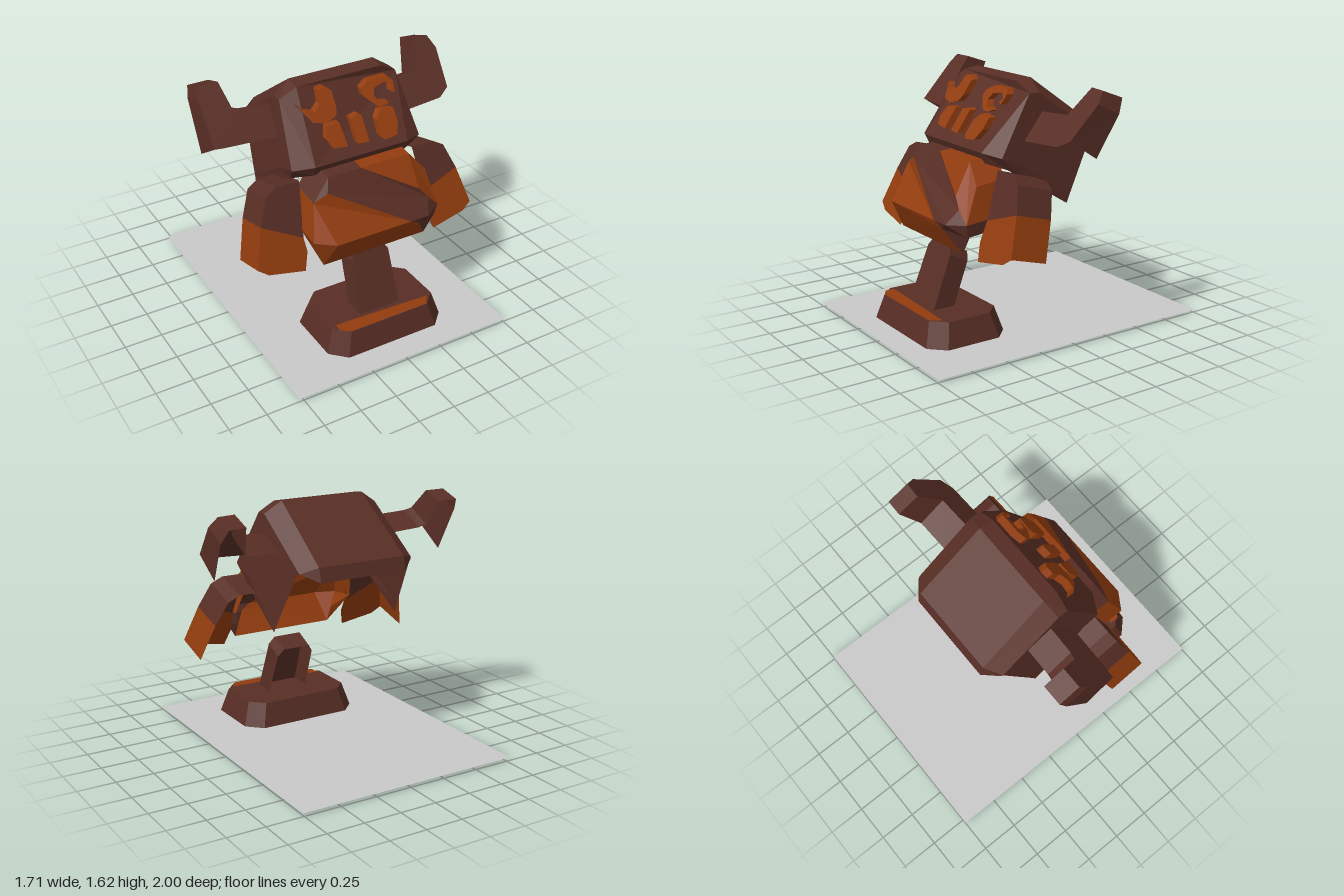
import * as THREE from 'three';

const material = (name, color) => {
  const m = new THREE.MeshStandardMaterial({ color, side: THREE.DoubleSide, flatShading: true });
  m.name = name;
  return m;
};

export function createModel() {
  const brown = material('brown', 0x582e25);
  const orange = material('orange', 0x923c0e);
  const grey = material('grey', 0xc9c9c9);
  const model = new THREE.Group();

  const add = (name, geometry, mat, parent = model) => {
    const mesh = new THREE.Mesh(geometry, mat);
    mesh.name = name;
    parent.add(mesh);
    return mesh;
  };
  const group = (name) => {
    const g = new THREE.Group();
    g.name = name;
    model.add(g);
    return g;
  };
  const toShape = (pts) => new THREE.Shape(pts.map(([x, y]) => new THREE.Vector2(x, y)));

  // Moves a flat outline onto a sloping front given by depth(x, y)
  const slope = (g, depth) => {
    const p = g.attributes.position;
    for (let i = 0; i < p.count; i++) p.setZ(i, p.getZ(i) + depth(p.getX(i), p.getY(i)));
    g.computeVertexNormals();
    return g;
  };
  const plate = (pts, depth) => slope(new THREE.ShapeGeometry(toShape(pts)).toNonIndexed(), depth);
  const block = (pts, depth, thick) =>
    slope(new THREE.ExtrudeGeometry(toShape(pts), { depth: thick, bevelEnabled: false }), depth);

  // Skin of quads between successive rows of points
  const skin = (...rows) => {
    const v = [];
    for (let r = 0; r + 1 < rows.length; r++) {
      for (let i = 0; i + 1 < rows[r].length; i++) {
        const [a, b, c, d] = [rows[r][i], rows[r][i + 1], rows[r + 1][i + 1], rows[r + 1][i]];
        v.push(...a, ...b, ...c, ...a, ...c, ...d);
      }
    }
    const g = new THREE.BufferGeometry();
    g.setAttribute('position', new THREE.Float32BufferAttribute(v, 3));
    g.computeVertexNormals();
    return g;
  };
  // Wall folded back from a line on a sloping front; back(y) gives its y and z shift
  const wall = (pts, depth, back) => skin(
    pts.map(([x, y]) => [x, y, depth(x, y)]),
    pts.map(([x, y]) => { const [dy, dz] = back(y); return [x, y + dy, depth(x, y) + dz]; }));
  const mirrorRow = (pts) => [...pts, ...pts.map(([x, y, z]) => [-x, y, z]).reverse()];

  // Ground sheet
  const ground = new THREE.PlaneGeometry(1.54, 2).rotateX(-Math.PI / 2).translate(-0.01, 0.02, 0);
  add('groundSheet', ground, grey);

  // Base: open octagonal frustum with a painted strip
  const base = group('base');
  const octagon = (w, d, cut, y) => [[w, d - cut], [w - cut, d], [cut - w, d], [-w, d - cut],
    [-w, cut - d], [cut - w, -d], [w - cut, -d], [w, cut - d], [w, d - cut]].map(([x, z]) => [x, y, z + 0.54]);
  const rim = octagon(0.375, 0.24, 0.09, 0.18);
  add('baseShell', skin(octagon(0.43, 0.29, 0.1, 0), rim, rim.map(() => [0, 0.18, 0.54])), brown, base);
  add('baseStrip', skin([[-0.34, 0.184, 0.74], [-0.28, 0.184, 0.78], [0.28, 0.184, 0.78]],
    [[-0.34, 0.184, 0.68], [-0.28, 0.184, 0.68], [0.33, 0.184, 0.71]]), orange, base);

  // Leaning post, open behind
  const post = group('post');
  const postDepth = (x, y) => 0.66 - (y - 0.18) * 0.385;
  const postLine = [[-0.145, 0.18], [-0.135, 0.52], [-0.1, 0.57], [0.1, 0.57], [0.135, 0.52], [0.145, 0.18]];
  add('postFront', plate(postLine, postDepth), brown, post);
  add('postSides', wall(postLine, postDepth, (y) => (y < 0.2 ? [0, -0.15] : [-0.06, -0.13])), brown, post);

  // Chest with a ridge across the belly and a diagonal sash
  const chest = group('chest');
  const chestDepth = (x, y) => (y > 0.785 ? 0.48 + (1.15 - y) * 0.56 : 0.684 - (0.79 - y) * 0.42)
    - Math.max(0, Math.abs(x) - 0.33) * 0.6;
  const chestBack = (y) => (y < 0.65 ? [0.12, -0.06] : [0.02, -0.2]);
  const chestParts = [
    ['chestLower', orange, [[-0.45, 0.8], [-0.33, 0.79], [0.2, 0.79], [0.27, 0.75], [0.37, 0.6], [-0.37, 0.6]]],
    ['chestRight', orange, [[-0.31, 1.07], [0.2, 0.79], [-0.33, 0.79], [-0.45, 0.8], [-0.4, 1.02]]],
    ['chestLeft', orange, [[-0.05, 1.15], [0.3, 1.15], [0.41, 1.02], [0.45, 0.8], [0.37, 0.88], [0.31, 0.95]]],
    ['sashUpper', brown, [[-0.4, 1.02], [-0.28, 1.15], [-0.05, 1.15], [0.31, 0.95], [0.37, 0.88],
      [0.45, 0.8], [0.33, 0.79], [0.2, 0.79], [-0.31, 1.07]]],
    ['sashLower', brown, [[0.2, 0.79], [0.33, 0.79], [0.45, 0.8], [0.44, 0.72], [0.37, 0.6], [0.27, 0.75]]],
  ];
  for (const [name, mat, pts] of chestParts) add(name, plate(pts, chestDepth), mat, chest);
  const chestWalls = [
    ['chestSideRight', orange, [[-0.37, 0.6], [-0.45, 0.8], [-0.4, 1.02]]],
    ['sashTop', brown, [[-0.4, 1.02], [-0.28, 1.15], [-0.05, 1.15]]],
    ['chestSideLeft', orange, [[-0.05, 1.15], [0.3, 1.15], [0.41, 1.02], [0.45, 0.8]]],
    ['sashSide', brown, [[0.45, 0.8], [0.44, 0.72], [0.37, 0.6]]],
  ];
  for (const [name, mat, pts] of chestWalls) add(name, wall(pts, chestDepth, chestBack), mat, chest);

  // Arms: folded plates, dark shoulder and bright forearm
  const armDepth = (x, y) => 0.34 + (1.13 - y) * 0.36;
  const armBack = () => [-0.07, -0.25];
  for (const [side, s, innerY] of [['left', 1, 0.81], ['right', -1, 0.765]]) {
    const arm = group(side + 'Arm');
    const m = (pts) => pts.map(([x, y]) => [s * x, y]);
    const shoulder = [[0.41, 1.1], [0.57, 1.1], [0.645, 1.06], [0.715, 0.9]];
    add('shoulder', plate(m([...shoulder, [0.45, innerY]]), armDepth), brown, arm);
    add('shoulderSide', wall(m(shoulder), armDepth, armBack), brown, arm);
    add('forearm', plate(m([[0.715, 0.9], [0.785, 0.66], [0.72, 0.615], [0.475, 0.57], [0.44, 0.68],
      [0.45, innerY]]), armDepth), orange, arm);
    add('forearmSide', wall(m([[0.715, 0.9], [0.785, 0.66]]), armDepth, armBack), orange, arm);
  }

  // Head: tilted hood, open behind and below
  const head = group('head');
  const faceDepth = (x, y) => 0.13 + (1.61 - y) * 0.7 - Math.max(0, Math.abs(x) - 0.33) * 0.6;
  const at = (x, y) => [x, y, faceDepth(x, y)];
  const half = [[-0.46, 1.18], [-0.415, 1.55], [-0.3, 1.61]];
  const mirror2 = half.map(([x, y]) => [-x, y]).reverse();
  add('face', plate([...half, ...mirror2, [0.33, 1.2], [-0.33, 1.2]], faceDepth), brown, head);
  add('chin', skin(mirrorRow([at(-0.46, 1.18), at(-0.33, 1.2)]),
    mirrorRow([[-0.44, 1.1, 0.3], [-0.33, 1.13, 0.385]])), brown, head);
  add('hood', skin(
    mirrorRow([[-0.44, 1.1, 0.3], at(-0.46, 1.18), at(-0.415, 1.55), at(-0.3, 1.61)]),
    mirrorRow([[-0.45, 1.04, 0.2], [-0.458, 1.12, 0.18], [-0.415, 1.55, 0.05], [-0.3, 1.625, 0.03]]),
    mirrorRow([[-0.46, 0.83, -0.14], [-0.455, 0.88, -0.165], [-0.415, 1.26, -0.37], [-0.31, 1.29, -0.44]])),
  brown, head);
  add('hoodFlap', skin(mirrorRow([[-0.415, 1.26, -0.37], [-0.31, 1.29, -0.44]]),
    mirrorRow([[-0.41, 1.25, -0.38], [-0.31, 1.2, -0.465]])), brown, head);

  // Raised eyes and teeth
  const features = [
    ['rightEye', [[-0.345, 1.53], [-0.28, 1.44], [-0.2, 1.42], [-0.12, 1.44], [-0.1, 1.48], [-0.1, 1.57],
      [-0.14, 1.595], [-0.19, 1.59], [-0.2, 1.52], [-0.25, 1.485], [-0.31, 1.5]]],
    ['leftEye', [[0.1, 1.5], [0.1, 1.54], [0.16, 1.57], [0.3, 1.57], [0.33, 1.54], [0.32, 1.48], [0.295, 1.49],
      [0.31, 1.52], [0.27, 1.545], [0.19, 1.53], [0.17, 1.49], [0.2, 1.45], [0.26, 1.44], [0.24, 1.43], [0.18, 1.43]]],
    ['rightTooth', [[-0.225, 1.34], [-0.2, 1.4], [-0.11, 1.405], [-0.1, 1.28], [-0.2, 1.29]]],
    ['middleTooth', [[-0.03, 1.28], [-0.03, 1.41], [0.03, 1.42], [0.05, 1.41], [0.05, 1.275]]],
    ['leftTooth', [[0.135, 1.28], [0.14, 1.37], [0.18, 1.41], [0.28, 1.4], [0.28, 1.33], [0.25, 1.27], [0.16, 1.26]]],
  ];
  for (const [name, pts] of features) add(name, block(pts, faceDepth, 0.05), orange, head);

  // Horns: bent plates with a folded outer and upper edge
  const hornDepth = (x, y) => 0.13 - (y - 1.32) * 0.9;
  const hornBack = (y) => { const t = (y - 1.32) / 0.3; return [-0.13 + 0.08 * t, -0.2 + 0.055 * t]; };
  const horns = [
    ['leftHorn', [[0.42, 1.265], [0.75, 1.283]],
      [[0.83, 1.325], [0.855, 1.53], [0.82, 1.6], [0.71, 1.605], [0.66, 1.445], [0.4, 1.43]]],
    ['rightHorn', [[-0.42, 1.31], [-0.79, 1.325]],
      [[-0.855, 1.33], [-0.85, 1.57], [-0.83, 1.625], [-0.69, 1.625], [-0.66, 1.495], [-0.61, 1.48], [-0.4, 1.47]]],
  ];
  for (const [name, lower, edge] of horns) {
    const horn = group(name);
    add('hornFront', plate([...lower, ...edge], hornDepth), brown, horn);
    add('hornEdge', wall(edge, hornDepth, hornBack), brown, horn);
  }

  return model;
}
